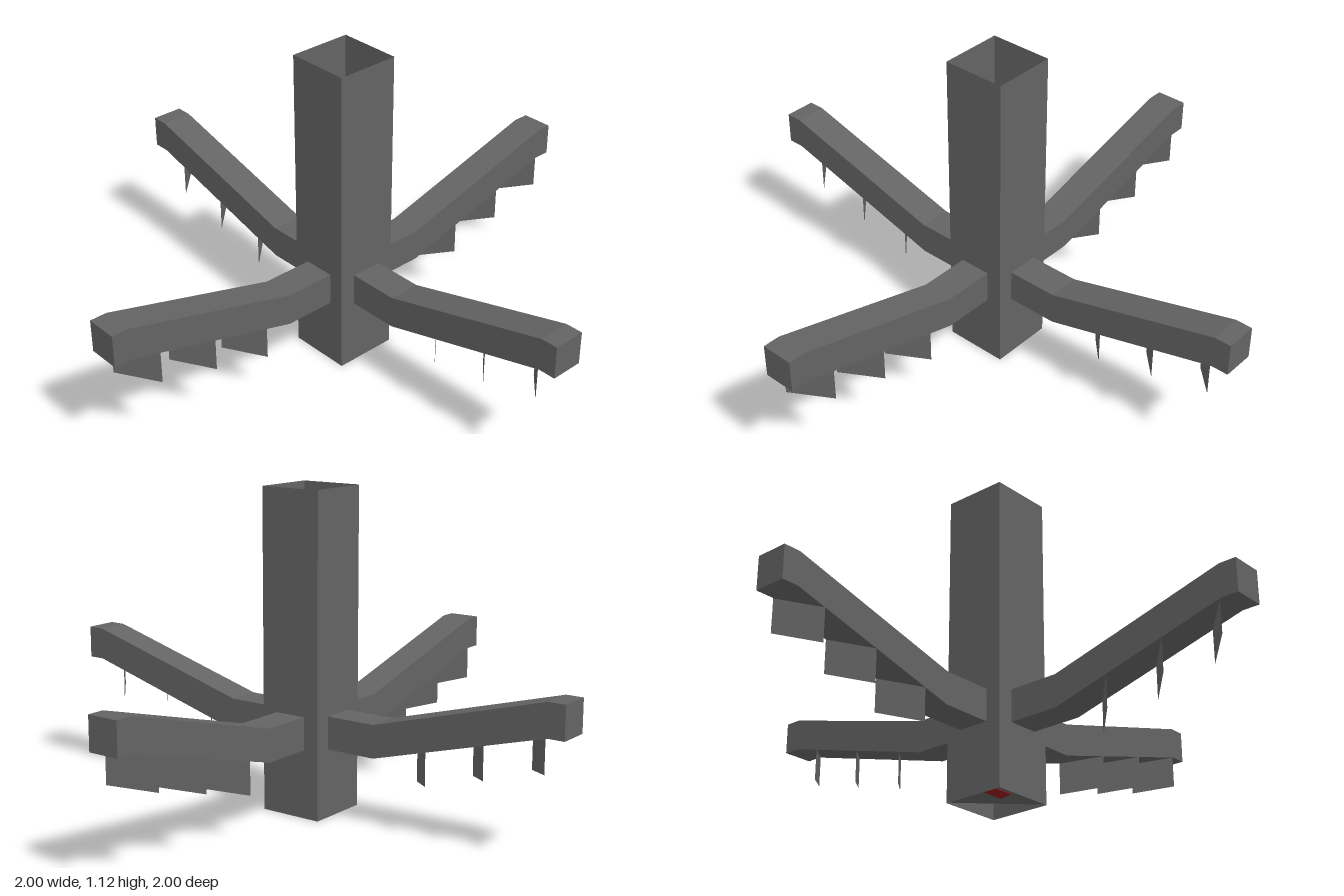
import * as THREE from 'three';

const HALF = 0.115;    // half width of the post
const HEIGHT = 1.12;   // post height
const ARM = 0.115;     // arm thickness and fin depth
const BEND = 0.3, KNEE = 0.94, LOW = 0.24, HIGH = 0.415;

// Height of the sloped underside of an arm
const underside = (x) => LOW + (x - BEND) * (HIGH - LOW) / (KNEE - BEND);

// Flat polygon from a few corners, as a triangle fan
function polygon(corners) {
  const geometry = new THREE.BufferGeometry();
  const points = [];
  for (let i = 1; i < corners.length - 1; i++) points.push(...corners[0], ...corners[i], ...corners[i + 1]);
  geometry.setAttribute('position', new THREE.Float32BufferAttribute(points, 3));
  geometry.computeVertexNormals();
  return geometry;
}

export function createModel() {
  const model = new THREE.Group();
  const grey = new THREE.MeshStandardMaterial({ name: 'dark grey', color: 0x646464, side: THREE.DoubleSide });
  const red = new THREE.MeshStandardMaterial({ name: 'dark red', color: 0x961a1a });

  function add(parent, name, geometry, material) {
    const mesh = new THREE.Mesh(geometry, material);
    mesh.name = name;
    parent.add(mesh);
    return mesh;
  }

  // Side profile of one bent arm
  const profile = new THREE.Shape([
    [HALF, LOW], [BEND, LOW], [KNEE, HIGH], [1, HIGH],
    [1, HIGH + ARM], [KNEE, HIGH + ARM], [BEND, LOW + ARM], [HALF, LOW + ARM],
  ].map(([x, y]) => new THREE.Vector2(x, y)));
  const armGeometry = new THREE.ExtrudeGeometry(profile, { depth: ARM, bevelEnabled: false });
  armGeometry.translate(0, 0, -ARM / 2);

  // Thin fins set diagonally under the arm
  const finGeometries = [0.4, 0.615, 0.83].map((x0) => {
    const x1 = x0 + 0.105, y0 = underside(x0), y1 = underside(x1), w = ARM / 2;
    return polygon([[x0, y0 - ARM, -w], [x1, y1 - ARM, w], [x1, y1, w], [x0, y0, -w]]);
  });

  const wallGeometry = new THREE.PlaneGeometry(HALF * 2, HEIGHT);
  wallGeometry.rotateY(Math.PI / 2).translate(HALF, HEIGHT / 2, 0);

  // Four sides: a post wall, an arm and its fins
  for (let i = 0; i < 4; i++) {
    const side = new THREE.Group();
    side.name = 'side' + (i + 1);
    side.rotation.y = i * Math.PI / 2;
    add(side, 'postWall', wallGeometry, grey);
    add(side, 'arm', armGeometry, grey);
    finGeometries.forEach((g, k) => add(side, 'fin' + (k + 1), g, grey));
    model.add(side);
  }

  // Half of the post's base is closed, the other half is open
  add(model, 'baseTriangle', polygon([[-HALF, 0.002, -HALF], [-HALF, 0.002, HALF], [HALF, 0.002, HALF]]), grey);

  // Small red plate in the base
  const patch = new THREE.Shape([[-0.114, -0.045], [-0.114, -0.098], [-0.042, -0.098], [-0.03, -0.045]]
    .map(([x, y]) => new THREE.Vector2(x, y)));
  const patchGeometry = new THREE.ExtrudeGeometry(patch, { depth: 0.004, bevelEnabled: false });
  patchGeometry.rotateX(-Math.PI / 2);
  add(model, 'redPlate', patchGeometry, red);

  return model;
}
